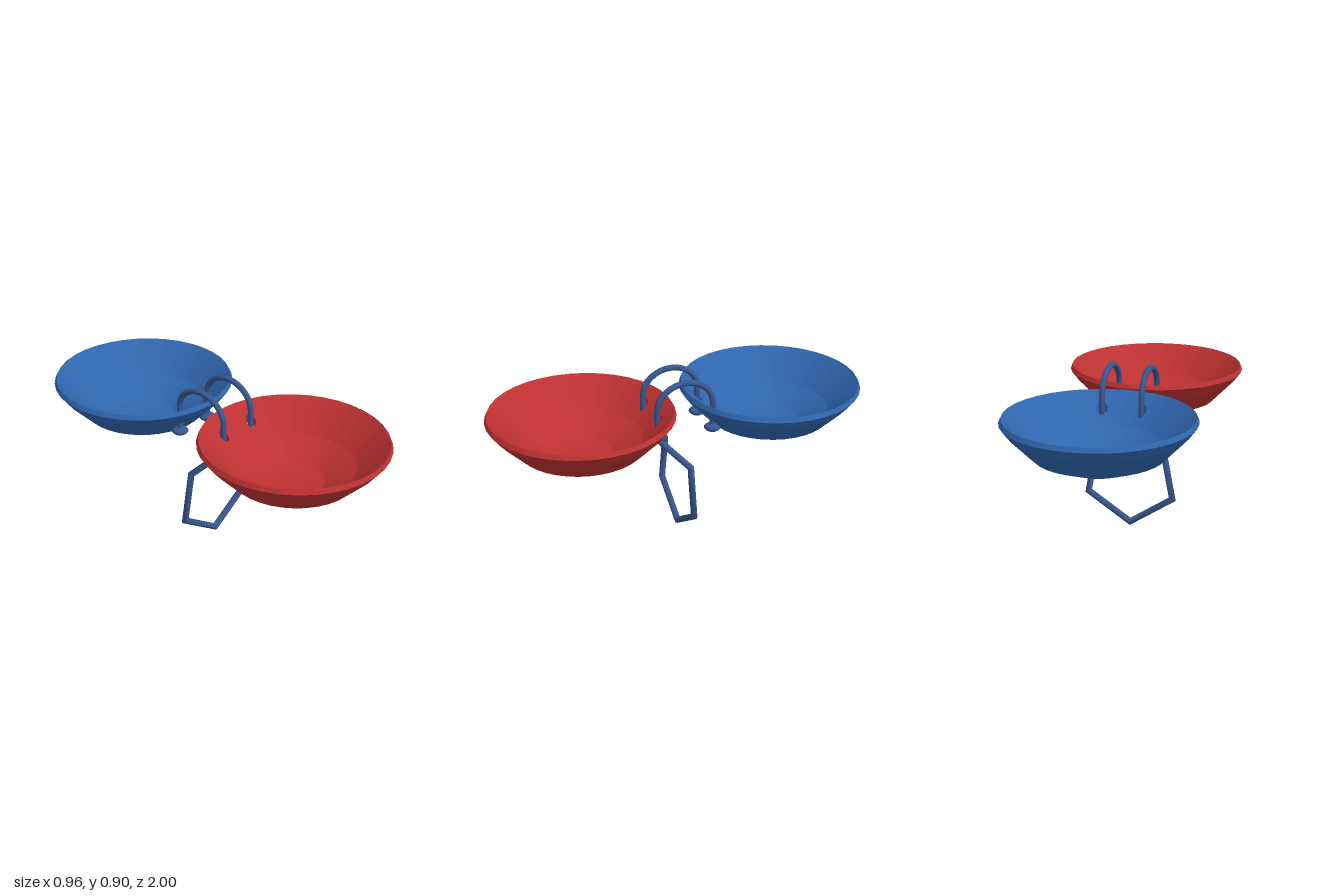
import * as THREE from 'three';
import { mergeGeometries } from 'three/addons/utils/BufferGeometryUtils.js';

const SEG = 36, BOWL_Z = 0.521, HOOP_X = 0.104, HOOP_Z = 0.152;
const HOOP_R = 0.0155, SUPPORT_R = 0.017;

const material = (name, color) => Object.assign(new THREE.MeshStandardMaterial({ color }), { name });

function mesh(name, geometry, mat) {
  const m = new THREE.Mesh(geometry, mat);
  m.name = name;
  return m;
}

// Faceted turned surface from [radius, height] pairs
function facetedLathe(points) {
  const g = new THREE.LatheGeometry(points.map(p => new THREE.Vector2(...p)), SEG).toNonIndexed();
  g.computeVertexNormals();
  return g;
}

// One flat panel of the sloping wall between two radii, optionally pierced by a round hole.
// outer and inner hold the wall heights at r0 and r1.
function wallPanel(i, r0, r1, outer, inner, hole) {
  const a = (i / SEG) * Math.PI * 2, b = ((i + 1) / SEG) * Math.PI * 2, mid = (a + b) / 2;
  const at = (r, t) => new THREE.Vector2(r * Math.sin(t), r * Math.cos(t));
  const shape = new THREE.Shape([at(r0, a), at(r0, b), at(r1, b), at(r1, a)]);
  if (hole) shape.holes.push(new THREE.Path().absarc(hole[0], hole[1], 0.028, 0, Math.PI * 2, true));
  const g = new THREE.ExtrudeGeometry(shape, { depth: 1, bevelEnabled: false, curveSegments: 8 });
  // Stand the plan upright and tilt it onto the slope
  const c = Math.cos(Math.PI / SEG), p = g.attributes.position;
  for (let k = 0; k < p.count; k++) {
    const x = p.getX(k), z = p.getY(k);
    const r = (x * Math.sin(mid) + z * Math.cos(mid)) / c;
    const [y0, y1] = p.getZ(k) > 0.5 ? inner : outer;
    p.setXYZ(k, x, y0 + ((r - r0) / (r1 - r0)) * (y1 - y0), z);
  }
  // The axis swap mirrors the panel, so reverse each triangle
  const arr = p.array;
  for (let k = 0; k < arr.length; k += 9) {
    for (let j = 0; j < 3; j++) {
      const t = arr[k + 3 + j];
      arr[k + 3 + j] = arr[k + 6 + j];
      arr[k + 6 + j] = t;
    }
  }
  g.computeVertexNormals();
  return g;
}

function bowlGeometry() {
  const r0 = 0.325, r1 = 0.44, outer = [0.58, 0.698], inner = [0.638, 0.747];
  const holeZ = HOOP_Z - BOWL_Z;
  const parts = [
    // Outside and inside of the base
    facetedLathe([[0, 0.5], [0.08, 0.502], [0.165, 0.515], [r0, outer[0]]]),
    facetedLathe([[r0, inner[0]], [0.311, 0.625], [0.16, 0.54], [0.08, 0.529], [0, 0.527]]),
    // Flared rim
    facetedLathe([[r1, outer[1]], [0.479, 0.75], [0.468, 0.773], [r1, inner[1]]]),
  ];
  for (let i = 0; i < SEG; i++) {
    const hole = i === SEG / 2 - 2 ? [HOOP_X, holeZ] : i === SEG / 2 + 1 ? [-HOOP_X, holeZ] : null;
    parts.push(wallPanel(i, r0, r1, outer, inner, hole));
  }
  return mergeGeometries(parts);
}

// Round wire through straight segments with mitred corners
function mitredWire(points, radius, sides = 12) {
  const dirs = points.slice(1).map((p, i) => p.clone().sub(points[i]).normalize());
  const position = [], normal = [], index = [];
  dirs.forEach((d, i) => {
    const u = new THREE.Vector3(0, 0, 1).cross(d).normalize();
    const v = d.clone().cross(u);
    const base = position.length / 3;
    for (const e of [i, i + 1]) {
      const plane = (dirs[e - 1] ?? d).clone().add(dirs[e] ?? d);
      for (let k = 0; k <= sides; k++) {
        const t = (k / sides) * Math.PI * 2;
        const q = u.clone().multiplyScalar(Math.cos(t)).addScaledVector(v, Math.sin(t)).multiplyScalar(radius);
        q.addScaledVector(d, -q.dot(plane) / d.dot(plane));
        const n = q.clone().normalize();
        q.add(points[e]);
        position.push(q.x, q.y, q.z);
        normal.push(n.x, n.y, n.z);
      }
    }
    for (let k = 0; k < sides; k++) {
      const a = base + k, b = a + sides + 1;
      index.push(a, a + 1, b, a + 1, b + 1, b);
    }
  });
  const g = new THREE.BufferGeometry();
  g.setAttribute('position', new THREE.Float32BufferAttribute(position, 3));
  g.setAttribute('normal', new THREE.Float32BufferAttribute(normal, 3));
  g.setIndex(index);
  return g;
}

export function createModel() {
  const model = new THREE.Group();
  model.name = 'twinBowls';
  const red = material('red', 0xbd3131);
  const blue = material('blue', 0x2f66ae);
  const wire = material('wireBlue', 0x38568f);

  // Two bowls facing each other
  const bowl = bowlGeometry();
  const front = mesh('frontBowl', bowl, red);
  front.position.z = BOWL_Z;
  const back = mesh('backBowl', bowl, blue);
  back.position.z = -BOWL_Z;
  back.rotation.y = Math.PI;
  model.add(front, back);

  // Arched hoops joining the bowls
  const arch = [new THREE.Vector3(0, 0.6, HOOP_Z), new THREE.Vector3(0, 0.68, HOOP_Z)];
  for (let i = 0; i <= 12; i++) {
    const t = (i / 12) * Math.PI;
    arch.push(new THREE.Vector3(0, 0.75 + 0.131 * Math.sin(t), HOOP_Z * Math.cos(t)));
  }
  arch.push(new THREE.Vector3(0, 0.68, -HOOP_Z), new THREE.Vector3(0, 0.6, -HOOP_Z));
  const hoop = new THREE.TubeGeometry(new THREE.CatmullRomCurve3(arch), 48, HOOP_R, 12);

  // Flattened stoppers below the holes
  const stopper = new THREE.LatheGeometry(
    [[0, 0.586], [0.022, 0.589], [0.038, 0.6], [0.045, 0.61], [0.038, 0.62], [0.022, 0.631], [0, 0.634]]
      .map(p => new THREE.Vector2(...p)), 16);

  for (const [side, s] of [['left', 1], ['right', -1]]) {
    const h = mesh(side + 'Hoop', hoop, wire);
    h.position.x = s * HOOP_X;
    model.add(h);
    for (const [end, e] of [['Front', 1], ['Back', -1]]) {
      const st = mesh(side + end + 'Stopper', stopper, wire);
      st.position.set(s * HOOP_X, 0, e * HOOP_Z);
      model.add(st);
    }
  }

  // Hanging five-sided wire support
  const half = [[HOOP_X, 0.6, HOOP_Z + 0.005], [0.183, 0.437, 0], [0.233, 0.175, 0]];
  const chain = [
    ...half.map(p => new THREE.Vector3(...p)),
    new THREE.Vector3(0, 0.0215, 0),
    ...half.map(([x, y, z]) => new THREE.Vector3(-x, y, z)).reverse(),
  ];
  model.add(mesh('wireSupport', mitredWire(chain, SUPPORT_R), wire));

  return model;
}
